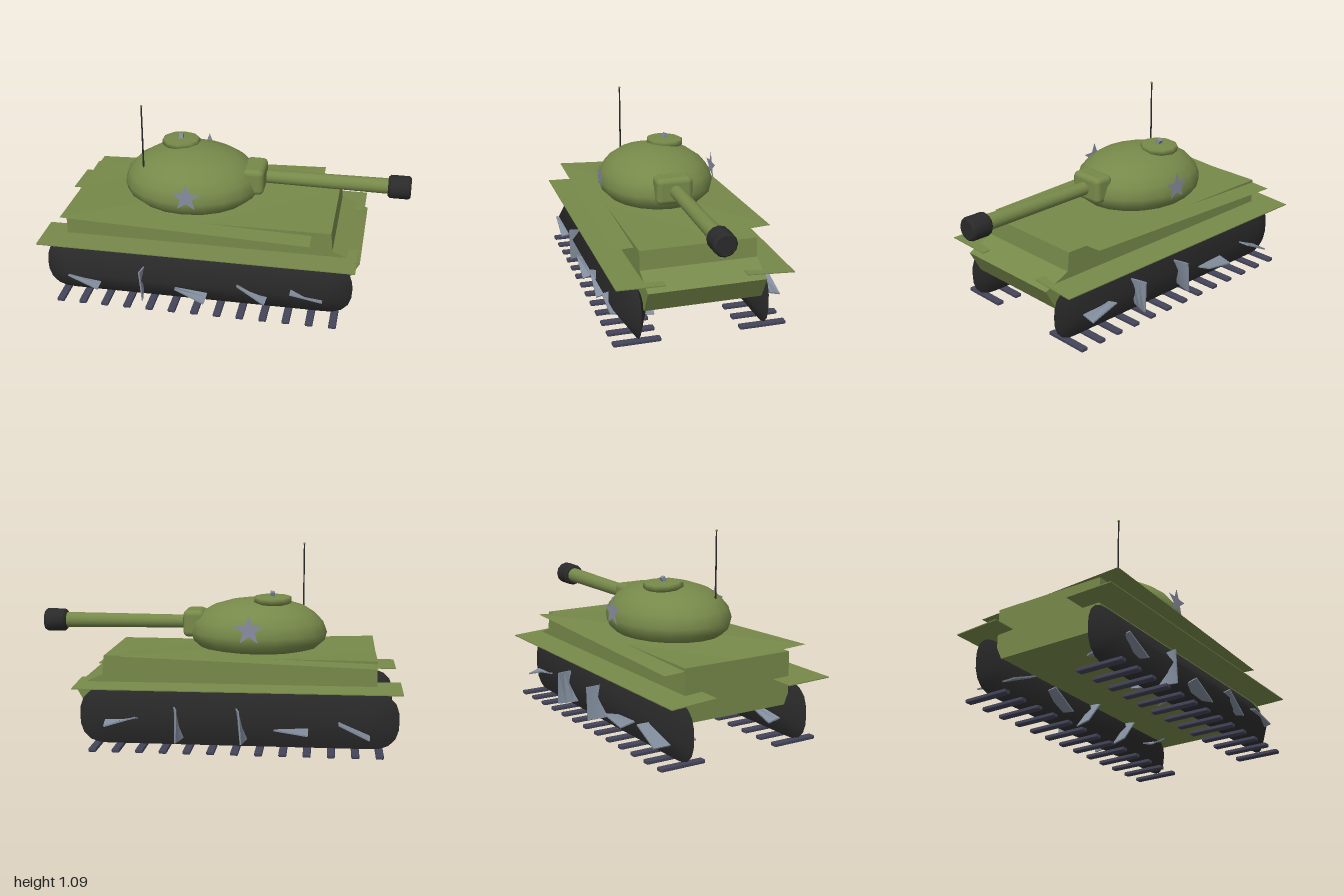
import * as THREE from 'three';
import { toCreasedNormals } from 'three/addons/utils/BufferGeometryUtils.js';
import { RoundedBoxGeometry } from 'three/addons/geometries/RoundedBoxGeometry.js';

const material = (name, color, side = THREE.FrontSide) => {
  const m = new THREE.MeshStandardMaterial({ color, side });
  m.name = name;
  return m;
};

const points = (list) => list.map(([x, y]) => new THREE.Vector2(x, y));

// Side profile extruded across z and centred on it
function slab(profile, width) {
  const g = new THREE.ExtrudeGeometry(new THREE.Shape(points(profile)), { depth: width, bevelEnabled: false });
  return g.translate(0, 0, -width / 2);
}

function triangleGeometry(positions) {
  const g = new THREE.BufferGeometry();
  g.setAttribute('position', new THREE.Float32BufferAttribute(positions, 3));
  g.computeVertexNormals();
  return g;
}

// Folded plate: two opposite corners high, two low, thickest in the middle
function foldedPlate(x0, x1, z0, z1, low, high) {
  const a = [x0, high, z1], b = [x1, high, z0], c = [x0, low, z0], d = [x1, low, z1];
  return triangleGeometry([a, d, b, a, b, c, c, d, a, c, b, d].flat());
}

// Pointed-section track: a rounded outline rising to a ridge on each side
function trackGeometry(halfLength, halfHeight, widthPlus, widthMinus) {
  const r = halfHeight, s = halfLength - r, n = 10;
  const outline = [];
  for (const side of [1, -1]) {
    for (let i = 0; i <= n; i++) {
      const a = -Math.PI / 2 + (i / n) * Math.PI;
      const c = Math.cos(a), d = Math.sin(a);
      const k = 1 / Math.pow(Math.abs(c) ** 2.6 + Math.abs(d) ** 2.6, 1 / 2.6);
      outline.push([side * (s + r * c * k), side * r * d * k, side * s]);
    }
  }
  const pos = [];
  outline.forEach((p, i) => {
    const q = outline[(i + 1) % outline.length];
    for (const w of [widthPlus, -widthMinus]) {
      const a = [p[0], p[1], 0], b = [q[0], q[1], 0];
      const c = [q[2], 0, w], d = [p[2], 0, w];
      const tris = p[2] === q[2] ? [[a, b, c]] : [[a, b, c], [a, c, d]];
      for (const t of tris) pos.push(...(w > 0 ? t : [t[0], t[2], t[1]]).flat());
    }
  });
  return toCreasedNormals(triangleGeometry(pos), 1.35);
}

// Thin wheel plate twisted from one angle at its inner end to another outside
function wheelGeometry(innerAngle, outerAngle, side) {
  const width = 0.245;
  const g = new THREE.BoxGeometry(0.18, 0.008, width, 1, 1, 6);
  const p = g.attributes.position;
  for (let i = 0; i < p.count; i++) {
    const t = 0.5 + (side * p.getZ(i)) / width;
    const a = THREE.MathUtils.lerp(innerAngle, outerAngle, t);
    const x = p.getX(i), y = p.getY(i);
    p.setXY(i, x * Math.cos(a) - y * Math.sin(a), x * Math.sin(a) + y * Math.cos(a));
  }
  g.computeVertexNormals();
  return toCreasedNormals(g, 0.5);
}

export function createModel() {
  const model = new THREE.Group();
  model.name = 'tank';
  const olive = material('olive paint', 0x77894a, THREE.DoubleSide);
  const rubber = material('dark rubber', 0x2a2a2a);
  const steel = material('wheel steel', 0x818c9c);
  const treadMetal = material('tread metal', 0x44445a);
  const starGrey = material('star grey', 0x888da0, THREE.DoubleSide);

  const add = (name, geometry, mat, x = 0, y = 0, z = 0, parent = model) => {
    const mesh = new THREE.Mesh(geometry, mat);
    mesh.name = name;
    mesh.position.set(x, y, z);
    parent.add(mesh);
    return mesh;
  };

  // Hull with a pointed nose, gun end at +x
  add('hull', slab([[-0.87, 0.212], [0.69, 0.205], [0.76, 0.33], [0.61, 0.395], [0.6, 0.5], [-0.87, 0.494]], 0.64), olive);

  // Folded deck plate overhanging the hull
  add('deckPlate', foldedPlate(-0.87, 0.495, -0.437, 0.428, 0.472, 0.516), olive);

  // Running gear on both sides; wheels are [x, y, inner angle, outer angle]
  const tread = new RoundedBoxGeometry(0.042, 0.021, 0.26, 1, 0.006);
  const sides = [
    {
      name: 'leftRunningGear', side: 1, fenderY: 0.36, fenderTilt: -0.023, ridges: [0.11, 0.07],
      wheels: [[-0.75, 0.14, 0.3, -0.42], [-0.42, 0.15, 1.1, 1.65], [-0.15, 0.115, 0.7, -0.45],
        [0.19, 0.16, 0.4, -0.6], [0.49, 0.175, -0.8, -0.18]],
    },
    {
      name: 'rightRunningGear', side: -1, fenderY: 0.352, fenderTilt: -0.06, ridges: [0.08, 0.06],
      wheels: [[-0.75, 0.14, 0.4, 0.45], [-0.42, 0.13, -0.5, 0.15], [-0.15, 0.15, 0.9, 1.5],
        [0.19, 0.15, 0.9, 1.6], [0.49, 0.17, 0.5, -0.3]],
    },
  ];
  for (const { name, side, fenderY, fenderTilt, ridges, wheels } of sides) {
    const gear = new THREE.Group();
    gear.name = name;
    model.add(gear);
    add('track', trackGeometry(0.86, 0.153, ...ridges), rubber, -0.13, 0.176, side * 0.345, gear);
    for (let i = 0; i < 13; i++) {
      add('treadBar', tread, treadMetal, -0.885 + i * 0.127, 0.0125, side * 0.348, gear);
    }
    for (const [x, y, inner, outer] of wheels) {
      add('wheelPlate', wheelGeometry(inner, outer, side), steel, x, y, side * 0.35, gear);
    }
    const fender = add('fender', new THREE.BoxGeometry(1.745, 0.005, 0.26), olive, -0.1275, fenderY, side * 0.35, gear);
    fender.rotation.x = fenderTilt;
  }

  // Egg-shaped turret
  const dome = [
    [0, 0.495], [0.21, 0.498], [0.28, 0.517], [0.317, 0.555], [0.327, 0.6], [0.309, 0.66],
    [0.27, 0.708], [0.218, 0.745], [0.13, 0.775], [0.06, 0.787], [0, 0.79],
  ];
  const turret = add('turret', toCreasedNormals(new THREE.LatheGeometry(points(dome), 20), 0.8), olive, -0.217);
  turret.scale.x = 1.17;

  // Gun
  add('mantlet', new RoundedBoxGeometry(0.12, 0.15, 0.205, 3, 0.03), olive, 0.138, 0.647, 0);
  const barrel = add('barrel', new THREE.CylinderGeometry(0.043, 0.037, 0.675, 16), olive, 0.5425, 0.649, -0.003);
  barrel.rotation.z = -Math.PI / 2;
  const muzzleProfile = points([[0, -0.063], [0.052, -0.063], [0.064, -0.05], [0.064, 0.05], [0.054, 0.062], [0, 0.062]]);
  const muzzle = add('muzzle', toCreasedNormals(new THREE.LatheGeometry(muzzleProfile, 12), 0.6),
    rubber, 0.937, 0.648, -0.003);
  muzzle.rotation.z = -Math.PI / 2;

  // Hatch with its handle
  const hatchProfile = points([[0, -0.022], [0.085, -0.022], [0.107, -0.012], [0.107, 0.012], [0.098, 0.018], [0, 0.02]]);
  const hatch = add('hatch', new THREE.LatheGeometry(hatchProfile, 10), olive, -0.3, 0.787, -0.085);
  hatch.rotation.x = -0.05;
  const knob = add('hatchHandle', new THREE.BoxGeometry(0.025, 0.035, 0.022), steel, -0.3, 0.815, -0.085);
  knob.rotation.x = -0.4;

  // Antenna
  add('antenna', new THREE.CylinderGeometry(0.004, 0.005, 0.38, 6), rubber, -0.465, 0.89, 0.14);
  add('antennaTip', new THREE.SphereGeometry(0.007, 8, 6), olive, -0.465, 1.081, 0.14);

  // Upright flat stars on both turret flanks
  const starPoints = [];
  for (let i = 0; i < 10; i++) {
    const a = Math.PI / 2 + (i * Math.PI) / 5, r = i % 2 ? 0.034 : 0.082;
    starPoints.push([r * Math.cos(a), r * Math.sin(a)]);
  }
  const star = new THREE.ShapeGeometry(new THREE.Shape(points(starPoints)));
  for (const side of [1, -1]) {
    const mesh = add('star', star, starGrey, -0.187, 0.647, side * 0.333);
    mesh.rotation.y = side > 0 ? 0 : Math.PI;
  }

  return model;
}
